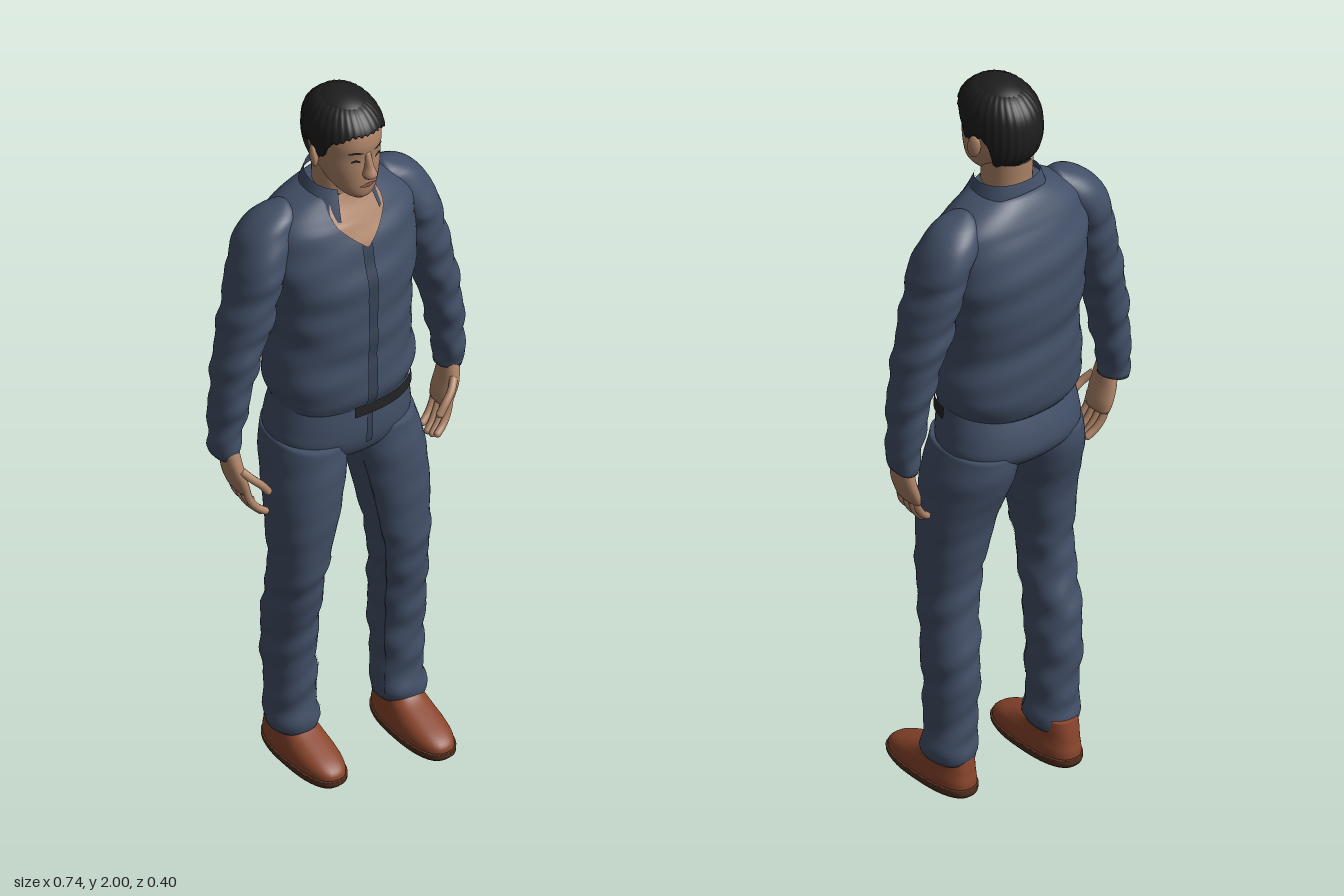
import * as THREE from 'three';

const mat = (name, color, side = THREE.FrontSide) => {
  const m = new THREE.MeshStandardMaterial({ color, side });
  m.name = name;
  return m;
};

// Body outlines: rows of [y, centreX, halfWidth, backZ, frontZ], from bottom to top
const TORSO = [
  [1.095, 0, .172, -.162, .098], [1.13, 0, .186, -.182, .11], [1.17, 0, .194, -.19, .114], [1.3, 0, .182, -.19, .115],
  [1.4, 0, .19, -.2, .117], [1.5, 0, .205, -.2, .112], [1.59, 0, .207, -.183, .088], [1.65, 0, .19, -.16, .06],
  [1.69, 0, .14, -.138, .04], [1.72, 0, .08, -.115, .028],
];
const PELVIS = [
  [.92, 0, .07, -.09, .04], [.95, 0, .145, -.145, .075], [.99, 0, .188, -.178, .094],
  [1.04, 0, .188, -.18, .1], [1.12, 0, .174, -.158, .098],
];
const LEFT_LEG = [
  [.09, .168, .06, -.09, .045], [.12, .168, .067, -.097, .052], [.16, .167, .062, -.09, .046], [.3, .165, .063, -.1, .052],
  [.4, .164, .065, -.1, .062], [.5, .156, .066, -.087, .078], [.6, .148, .072, -.082, .094], [.8, .13, .093, -.115, .1],
  [.92, .112, .1, -.158, .098], [1.0, .1, .09, -.165, .09],
];
const RIGHT_LEG = [
  [.09, -.122, .057, -.132, .005], [.12, -.122, .065, -.14, .012], [.16, -.122, .06, -.132, .006], [.3, -.128, .061, -.14, .015],
  [.4, -.132, .061, -.137, .028], [.5, -.137, .062, -.115, .05], [.6, -.14, .062, -.096, .075], [.8, -.125, .087, -.118, .098],
  [.92, -.11, .094, -.158, .098], [1.0, -.1, .09, -.165, .09],
];
const ARM = [
  [1.01, .333, .03, -.085, -.002], [1.045, .334, .035, -.093, .004], [1.2, .315, .044, -.105, .02], [1.3, .294, .051, -.115, .025],
  [1.4, .265, .06, -.125, .031], [1.5, .242, .058, -.135, .035], [1.58, .22, .062, -.14, .03],
  [1.64, .19, .063, -.13, .01], [1.68, .165, .042, -.1, -.01], [1.695, .15, .01, -.07, -.04],
];
const HEAD = [
  [1.728, 0, .022, .02, .078], [1.74, 0, .038, -.01, .09], [1.76, 0, .054, -.045, .096], [1.79, 0, .066, -.08, .099],
  [1.82, 0, .074, -.105, .1], [1.86, 0, .079, -.118, .099], [1.9, 0, .08, -.12, .103],
  [1.94, 0, .074, -.11, .093], [1.97, 0, .058, -.085, .067], [1.985, 0, .038, -.06, .04], [1.991, 0, .012, -.025, .005],
];
const NECK = [[1.6, 0, .07, -.11, .05], [1.7, 0, .06, -.1, .035], [1.8, 0, .058, -.105, .03]];
const COLLAR = [[1.65, 0, .112, -.142, .078], [1.7, 0, .096, -.13, .052], [1.755, 0, .077, -.115, .026]];
const NOSE = [[1.803, 0, .012, .09, .113], [1.815, 0, .018, .085, .128], [1.84, 0, .011, .085, .119], [1.878, 0, .008, .085, .103]];
const PALM = [[.905, .304, .014, -.078, .002], [.93, .312, .019, -.083, .005], [.975, .325, .021, -.08, .004], [1.05, .335, .022, -.07, -.018]];

// Smooth value of every column at height y
function sample(rows, y) {
  let k = 0;
  while (k < rows.length - 2 && y > rows[k + 1][0]) k++;
  const p = rows[k], q = rows[k + 1], h = q[0] - p[0], t = (y - p[0]) / h;
  const slope = (i, c) => {
    const a = rows[Math.max(i - 1, 0)], b = rows[Math.min(i + 1, rows.length - 1)];
    return (b[c] - a[c]) / (b[0] - a[0]);
  };
  return p.map((v, c) => c === 0 ? y
    : (2 * t ** 3 - 3 * t * t + 1) * v + (t ** 3 - 2 * t * t + t) * h * slope(k, c)
    + (3 * t * t - 2 * t ** 3) * q[c] + (t ** 3 - t * t) * h * slope(k + 1, c));
}

// Point on an outline body; angle 0 is the front, positive turns toward +x
function surfacePoint(rows, a, y, offset, power, fold) {
  const [, cx, rx, zb, zf] = sample(rows, y);
  const s = Math.sin(a), c = Math.cos(a), e = 2 / power;
  const d = offset + (fold ? fold(a, y) : 0);
  return [cx + Math.sign(s) * Math.abs(s) ** e * (rx + d), y, (zb + zf) / 2 + Math.sign(c) * Math.abs(c) ** e * ((zf - zb) / 2 + d)];
}

// Skin over an outline between two heights, either all round or as a patch
function skin(rows, o = {}) {
  const { a0 = -Math.PI, a1 = Math.PI, lo = () => rows[0][0], hi = () => rows.at(-1)[0],
    offset = 0, power = 2.2, fold, nu = 40, nv = 48, cap = false } = o;
  const full = a1 - a0 > 6.28, cols = full ? nu : nu + 1, pos = [], idx = [];
  const rowsOut = nv + 1 + (cap ? 2 : 0);
  for (let r = 0; r < rowsOut; r++) {
    const j = cap ? r - 1 : r, v = Math.min(Math.max(j / nv, 0), 1);
    for (let i = 0; i < cols; i++) {
      const a = a0 + (a1 - a0) * i / nu, y = lo(a) + (hi(a) - lo(a)) * v;
      const p = surfacePoint(rows, a, y, offset, power, fold);
      if (j < 0 || j > nv) { const m = sample(rows, y); p[0] = m[1]; p[2] = (m[3] + m[4]) / 2; }
      pos.push(...p);
    }
  }
  for (let r = 0; r < rowsOut - 1; r++) for (let i = 0; i < nu; i++) {
    const i2 = (i + 1) % cols, a = r * cols + i, b = r * cols + i2;
    idx.push(a, b, b + cols, a, b + cols, a + cols);
  }
  const g = new THREE.BufferGeometry();
  g.setAttribute('position', new THREE.Float32BufferAttribute(pos, 3));
  g.setIndex(idx);
  g.computeVertexNormals();
  return g;
}

// Cloth folds
const folds = (size, rate, seed) => (a, y) =>
  size * (Math.sin(rate * y + 2 * Math.sin(a + seed) + seed) * .6 + Math.sin(rate * 1.7 * y - 3 * a + seed * 2) * .4);

export function createModel() {
  const M = {
    cloth: mat('blue cloth', 0x435068, THREE.DoubleSide), seam: mat('dark seam', 0x364256, THREE.DoubleSide),
    skin: mat('skin', 0xae8468), hair: mat('black hair', 0x1e1e1e, THREE.DoubleSide), belt: mat('black belt', 0x222224),
    shoe: mat('brown leather', 0x8a452c), sole: mat('dark sole', 0x53301f), lip: mat('lips', 0x8a5a4a),
  };
  const root = new THREE.Group();
  const add = (name, geo, material, parent = root) => {
    const m = new THREE.Mesh(geo, material);
    m.name = name;
    parent.add(m);
    return m;
  };

  // Shirt
  const shirtFold = (a, y) => folds(.0035, 42, 1)(a, y) * (y < 1.65 ? 1 : .4);
  add('shirt', skin(TORSO, { power: 2.35, fold: shirtFold, nu: 64, nv: 64, cap: true }), M.cloth);
  add('placket', skin(TORSO, { a0: -.05, a1: .04, lo: () => 1.11, hi: () => 1.59, offset: .004, power: 2.35, fold: shirtFold, nu: 4 }), M.seam);
  add('openNeck', skin(TORSO, { a0: -.52, a1: .52, lo: a => 1.585 + Math.abs(a) * .22, hi: () => 1.719, offset: .005, power: 2.35, fold: shirtFold, nv: 16 }), M.skin);
  add('collar', skin(COLLAR, { a0: .5, a1: 2 * Math.PI - .5, lo: a => 1.69 - .035 * Math.cos(a), hi: a => 1.745 - .012 * Math.cos(a),
    fold: folds(.002, 40, 2), nv: 12 }), M.cloth);

  // Trousers and belt
  add('trouserSeat', skin(PELVIS, { power: 2.3, cap: true, nu: 56 }), M.cloth);
  add('belt', skin(PELVIS, { a0: -.2, a1: 1.5, lo: () => 1.082, hi: () => 1.112, offset: .007, power: 2.3, nv: 4 }), M.belt);
  add('fly', skin(PELVIS, { a0: -.03, a1: .03, lo: () => .99, hi: () => 1.09, offset: .003, power: 2.3, nu: 4 }), M.seam);
  [['leftLeg', LEFT_LEG, 1], ['rightLeg', RIGHT_LEG, 4]].forEach(([name, rows, seed]) => {
    const f = folds(.004, 48, seed), fold = (a, y) => f(a, y) * (y < .65 ? 1 : .35);
    add(name, skin(rows, { fold, nu: 48, nv: 72, cap: true }), M.cloth);
    const side = Math.sign(rows[0][1]);
    add(name + 'Seam', skin(rows, { a0: -side * 1.1 - .025, a1: -side * 1.1 + .025, lo: () => .12, hi: () => .88, offset: .0025, fold, nu: 3, nv: 72 }), M.seam);
  });

  // Shoes
  [['leftShoe', .166, 0], ['rightShoe', -.116, -.06]].forEach(([name, x, z]) => {
    const shoe = new THREE.Group();
    shoe.name = name;
    shoe.position.set(x, 0, z);
    root.add(shoe);
    const upper = [[.018, 0, .057, -.1, .195], [.04, 0, .058, -.1, .19], [.058, 0, .055, -.097, .165],
      [.078, 0, .05, -.095, .115], [.1, 0, .046, -.092, .06], [.125, 0, .042, -.088, .035]];
    const sole = [[0, 0, .056, -.1, .19], [.01, 0, .06, -.105, .199], [.024, 0, .061, -.105, .2]];
    add('upper', skin(upper, { power: 2.5, cap: true, nv: 20 }), M.shoe, shoe);
    add('sole', skin(sole, { power: 2.5, cap: true, nv: 6 }), M.sole, shoe);
  });

  // Arms and hands
  for (const s of [1, -1]) {
    const side = s > 0 ? 'left' : 'right', mirror = rows => rows.map(([y, x, ...r]) => [y, x * s, ...r]);
    add(side + 'Sleeve', skin(mirror(ARM), { fold: (a, y) => folds(.0045, 52, s)(a, y) * (y < 1.55 ? 1 : .4), nv: 64, cap: true }), M.cloth);
    const hand = new THREE.Group();
    hand.name = side + 'Hand';
    hand.position.z = s > 0 ? .004 : .02;
    root.add(hand);
    add('palm', skin(mirror(PALM), { cap: true, nu: 24, nv: 16 }), M.skin, hand);
    const digit = (name, pts, r) => {
      const path = new THREE.CatmullRomCurve3(pts.map(([x, y, z]) => new THREE.Vector3(x * s, y, z)));
      add(name, new THREE.TubeGeometry(path, 12, r, 10), M.skin, hand);
      add(name + 'Tip', new THREE.SphereGeometry(r, 10, 8), M.skin, hand).position.copy(path.getPoint(1));
    };
    [.012, 0, .004, .016].forEach((lift, i) => {
      const z = -.068 + i * .021;
      digit('finger', [[.311, .935, z], [.3, .89, z + .004], [.282, .855 + lift / 2, z + .01], [.262, .832 + lift, z + .016]], .0098);
    });
    digit('thumb', [[.322, .985, -.005], [.302, .962, .012], [.28, .94, .02], [.262, .915, .022]], .0105);
  }

  // Head
  const head = new THREE.Group();
  head.name = 'head';
  head.position.x = -.003;
  root.add(head);
  add('neck', skin(NECK, { nv: 12 }), M.skin, head);
  add('face', skin(HEAD, { cap: true, nu: 56, nv: 56 }), M.skin, head);
  add('nose', skin(NOSE, { power: 2, cap: true, nu: 20, nv: 16 }), M.skin, head);
  const hairline = [[0, 1.934], [.5, 1.932], [.85, 1.915], [1.1, 1.9], [1.3, 1.855], [1.5, 1.85], [1.65, 1.872], [1.95, 1.86], [2.2, 1.8], [2.6, 1.777], [3.15, 1.772]];
  const hairLow = a => sample(hairline, Math.abs(a))[1] + .003 * Math.sin(a * 36);
  add('hair', skin(HEAD, { lo: hairLow, offset: .009, fold: (a, y) => .0012 * Math.sin(a * 30) - .009 * Math.max(0, (y - 1.985) / .006) * .5,
    nu: 120, nv: 32, cap: true }), M.hair, head);
  const crown = add('crown', new THREE.SphereGeometry(1, 32, 16), M.hair, head);
  crown.position.set(0, 1.955, -.01);
  crown.scale.set(.066, .045, .083);
  for (const s of [1, -1]) {
    const patch = (name, a, b, lo, hi, m) => add(name, skin(HEAD, { a0: s > 0 ? a : -b, a1: s > 0 ? b : -a,
      lo: t => lo - .006 * Math.abs(Math.abs(t) - (a + b) / 2) / (b - a) + .003, hi: t => hi - .012 * Math.abs(Math.abs(t) - (a + b) / 2) / (b - a),
      offset: .002, nu: 12, nv: 4 }), m, head);
    patch('eyebrow', .17, .62, 1.879, 1.889, M.hair);
    patch('eye', .24, .52, 1.853, 1.864, M.hair);
    const ear = add('ear', new THREE.SphereGeometry(1, 16, 12), M.skin, head);
    ear.position.set(s * .085, 1.838, -.012);
    ear.scale.set(.011, .033, .018);
    ear.rotation.set(-.15, s * .4, 0);
  }
  add('lips', skin(HEAD, { a0: -.36, a1: .36, lo: a => 1.772 + .02 * Math.abs(a), hi: a => 1.788 - .022 * Math.abs(a), offset: .003, nu: 14, nv: 4 }), M.lip, head);
  return root;
}
